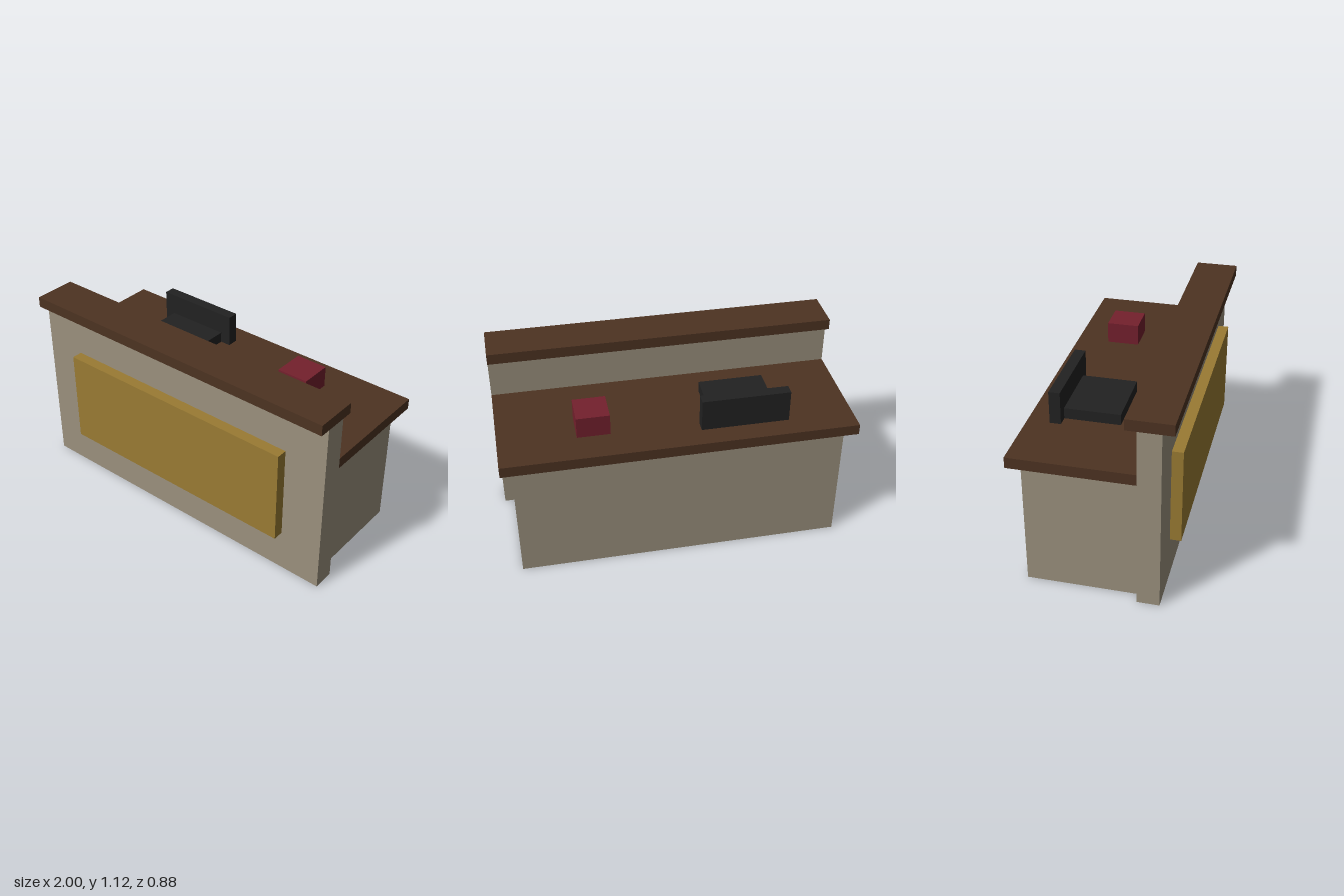
import * as THREE from 'three';

const paint = (name, color) => {
  const material = new THREE.MeshStandardMaterial({ color });
  material.name = name;
  return material;
};

export function createModel() {
  const group = new THREE.Group();
  group.name = 'receptionDesk';

  const stone = paint('warm grey', 0x9b917e);
  const wood = paint('dark wood', 0x4d3322);
  const gold = paint('dull gold', 0x9a7b33);
  const black = paint('black', 0x222222);
  const red = paint('dark red', 0x74202d);

  // Adds a box given its extents along x, y and z
  const box = (name, material, [x0, x1], [y0, y1], [z0, z1]) => {
    const mesh = new THREE.Mesh(new THREE.BoxGeometry(x1 - x0, y1 - y0, z1 - z0), material);
    mesh.position.set((x0 + x1) / 2, (y0 + y1) / 2, (z0 + z1) / 2);
    mesh.name = name;
    group.add(mesh);
  };

  const full = [-1, 1];
  const deskTop = 0.8125;

  // Desk: tall front wall with a ledge, lower cabinet with a worktop
  box('frontWall', stone, full, [0, 1.0625], [0.25, 0.375]);
  box('ledge', wood, full, [1.0625, 1.125], [0.1875, 0.4375]);
  box('cabinet', stone, [-0.9375, 0.9375], [0, 0.75], [-0.375, 0.25]);
  box('worktop', wood, full, [0.75, deskTop], [-0.4375, 0.25]);
  box('frontPanel', gold, [-0.75, 0.75], [0.25, 0.8125], [0.375, 0.4375]);

  // Items on the worktop
  box('screen', black, [-0.625, -0.125], [deskTop, 1], [-0.3125, -0.25]);
  box('keyboard', black, [-0.5625, -0.1875], [deskTop, 0.875], [-0.25, 0.0625]);
  box('redBox', red, [0.375, 0.5625], [deskTop, 0.9375], [-0.25, -0.0625]);

  return group;
}
